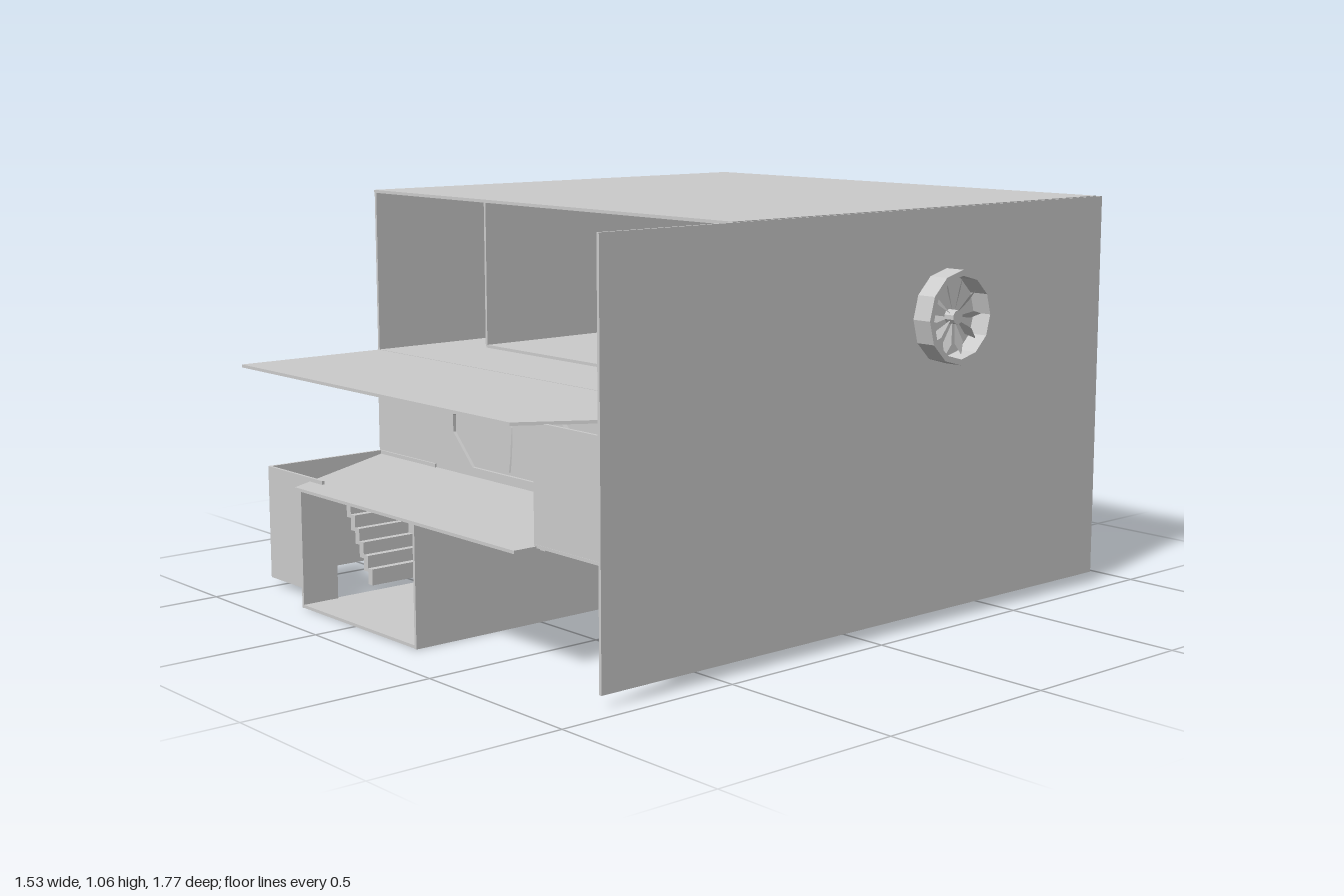
import * as THREE from 'three';

const grey = new THREE.MeshStandardMaterial({ color: 0xcccccc, side: THREE.DoubleSide, flatShading: true });
const T = 0.008; // sheet thickness

export function createModel() {
  const root = new THREE.Group();

  const add = (name, geo, parent = root) => {
    const m = new THREE.Mesh(geo, grey);
    m.name = name;
    parent.add(m);
    return m;
  };
  // box given by its limits
  const box = (name, x0, x1, y0, y1, z0, z1, parent = root) => {
    const m = add(name, new THREE.BoxGeometry(x1 - x0, y1 - y0, z1 - z0), parent);
    m.position.set((x0 + x1) / 2, (y0 + y1) / 2, (z0 + z1) / 2);
    return m;
  };
  const floor = (name, x0, x1, y, z0, z1) => box(name, x0, x1, y - T / 2, y + T / 2, z0, z1);
  const side = (name, x, y0, y1, z0, z1) => box(name, x - T / 2, x + T / 2, y0, y1, z0, z1);
  const front = (name, x0, x1, y0, y1, z) => box(name, x0, x1, y0, y1, z - T / 2, z + T / 2);
  // flat horizontal plate from [x, z] corners
  const plate = (name, pts, y) => {
    const s = new THREE.Shape(pts.map(([x, z]) => new THREE.Vector2(x, z)));
    const g = new THREE.ExtrudeGeometry(s, { depth: T, bevelEnabled: false });
    g.rotateX(Math.PI / 2);
    add(name, g).position.y = y + T / 2;
  };

  // upper storey: open front and back
  floor('roof', -0.53, 0.94, 1.06, -0.87, 0.45);
  floor('upperFloor', -0.53, 0.94, 0.613, -0.87, 0.45);
  side('upperSideWall', -0.524, 0.61, 1.06, -0.87, 0.45);
  side('largeSideWall', 0.941, 0.03, 1.062, -0.89, 0.845);

  // inner room, an open-ended sleeve
  for (const x of [-0.3, 0.73]) side('innerRoomWall', x, 0.63, 1.05, -0.62, 0.24);
  floor('innerRoomFloor', -0.3, 0.73, 0.63, -0.62, 0.24);
  floor('innerRoomCeiling', -0.3, 0.73, 1.046, -0.62, 0.24);

  // upper balcony with its cut corner
  plate('upperBalcony', [[-0.525, 0.45], [0.94, 0.45], [0.67, 0.885], [-0.525, 0.885]], 0.612);

  // middle storey: open at the back
  floor('middleFloor', -0.53, 0.67, 0.32, -0.87, 0.45);
  side('middleSideWall', -0.524, 0.32, 0.61, -0.87, 0.45);
  side('middleSideWall', 0.667, 0.32, 0.61, -0.87, 0.45);
  front('middleFrontWall', -0.53, 0.67, 0.32, 0.61, 0.447);

  // lower balcony, its corner cut the other way
  plate('lowerBalcony', [[-0.52, 0.45], [0.68, 0.45], [0.68, 0.885], [-0.27, 0.885]], 0.316);

  // eight-sided double door in the middle front wall
  const octagon = (w, h, c) => [
    [-w + c, -h], [w - c, -h], [w, -h + c], [w, h - c],
    [w - c, h], [-w + c, h], [-w, h - c], [-w, -h + c],
  ].map(([x, y]) => new THREE.Vector2(x, y));
  const door = new THREE.Group();
  door.name = 'door';
  door.position.set(0.092, 0.457, 0.45);
  root.add(door);
  const rim = new THREE.Shape(octagon(0.262, 0.122, 0.09));
  rim.holes.push(new THREE.Path(octagon(0.24, 0.108, 0.085)));
  add('doorFrame', new THREE.ExtrudeGeometry(rim, { depth: 0.015, bevelEnabled: false }), door);
  add('doorLeaf', new THREE.ExtrudeGeometry(new THREE.Shape(octagon(0.24, 0.108, 0.085)),
    { depth: 0.006, bevelEnabled: false }), door);
  const seam = new THREE.CatmullRomCurve3([[0, 0.1], [-0.005, 0.05], [0.008, 0.035], [0.006, -0.06], [0, -0.1]]
    .map(([x, y]) => new THREE.Vector3(x, y, 0.006)));
  add('doorSeam', new THREE.TubeGeometry(seam, 12, 0.003, 4), door);

  // hanging panel and small fittings at the open back
  front('hangingPanel', -0.08, 0.19, 0.39, 0.54, -0.82);
  box('panelHandle', 0.0, 0.1, 0.41, 0.425, -0.835, -0.82);
  for (const [x, y] of [[0.39, 0.48], [-0.47, 0.41]])
    for (let i = 0; i < 3; i++)
      box('smallFitting', x - 0.03 + i * 0.015, x - 0.01 + i * 0.02,
        y - 0.04 + i * 0.025, y - 0.02 + i * 0.025, -0.79, -0.76);

  // lower corridor: open at the front, doorway to the stairs
  floor('corridorFloor', -0.25, 0.278, 0.005, -0.86, 0.885);
  side('corridorWall', 0.274, 0, 0.316, -0.86, 0.885);
  side('corridorWall', -0.246, 0, 0.316, -0.86, 0.47);
  side('corridorWall', -0.246, 0, 0.316, 0.78, 0.885);
  front('corridorEndWall', -0.25, 0.278, 0, 0.316, -0.85);
  box('corridorCrate', -0.05, 0.1, 0.01, 0.1, -0.83, -0.74);

  // stairwell beside the lower corridor, open above and below
  side('lowerStairWall', -0.52, 0.02, 0.33, 0.45, 0.815);
  front('lowerStairFront', -0.52, -0.25, 0.02, 0.33, 0.812);
  front('lowerStairBack', -0.52, -0.25, 0.02, 0.33, 0.452);

  // stairwell beside the large wall
  floor('upperStairFloor', 0.67, 0.94, 0.32, 0.45, 0.82);
  front('upperStairFront', 0.67, 0.94, 0.32, 0.61, 0.815);
  front('upperStairBack', 0.67, 0.94, 0.32, 0.61, 0.452);

  // steps in both stairwells
  const N = 7;
  for (let i = 0; i < N; i++) {
    const a = i * 0.02, y = (i + 1) * 0.034;
    box('upperStep', 0.68 + a, 0.7 + a, 0.31 + y - 0.034, 0.32 + y, 0.66, 0.81);
    box('lowerStep', -0.28 - a, -0.26 - a, 0.02 + y - 0.034, 0.03 + y, 0.5, 0.66);
  }

  // ventilation fan on the large wall
  const fan = new THREE.Group();
  fan.name = 'fan';
  fan.position.set(0.91, 0.79, -0.275);
  fan.rotation.y = Math.PI / 2; // local z points out of the wall
  root.add(fan);
  const profile = [[0.105, 0], [0.12, 0], [0.12, 0.09], [0.105, 0.09], [0.105, 0]]
    .map(([r, h]) => new THREE.Vector2(r, h));
  add('fanRing', new THREE.LatheGeometry(profile, 12), fan).rotation.x = Math.PI / 2;
  const hub = add('fanHub', new THREE.CylinderGeometry(0.018, 0.018, 0.03, 10), fan);
  hub.rotation.x = Math.PI / 2;
  hub.position.z = 0.06;
  const bladeShape = new THREE.Shape([[0.012, 0], [0.07, -0.011], [0.106, 0], [0.07, 0.011]]
    .map(([x, y]) => new THREE.Vector2(x, y)));
  for (let i = 0; i < 10; i++) {
    const arm = new THREE.Group();
    arm.name = 'fanBladeArm';
    arm.rotation.z = (i / 10) * Math.PI * 2;
    arm.position.z = 0.06;
    fan.add(arm);
    add('fanBlade', new THREE.ShapeGeometry(bladeShape), arm).rotation.x = 0.6;
  }
  return root;
}
